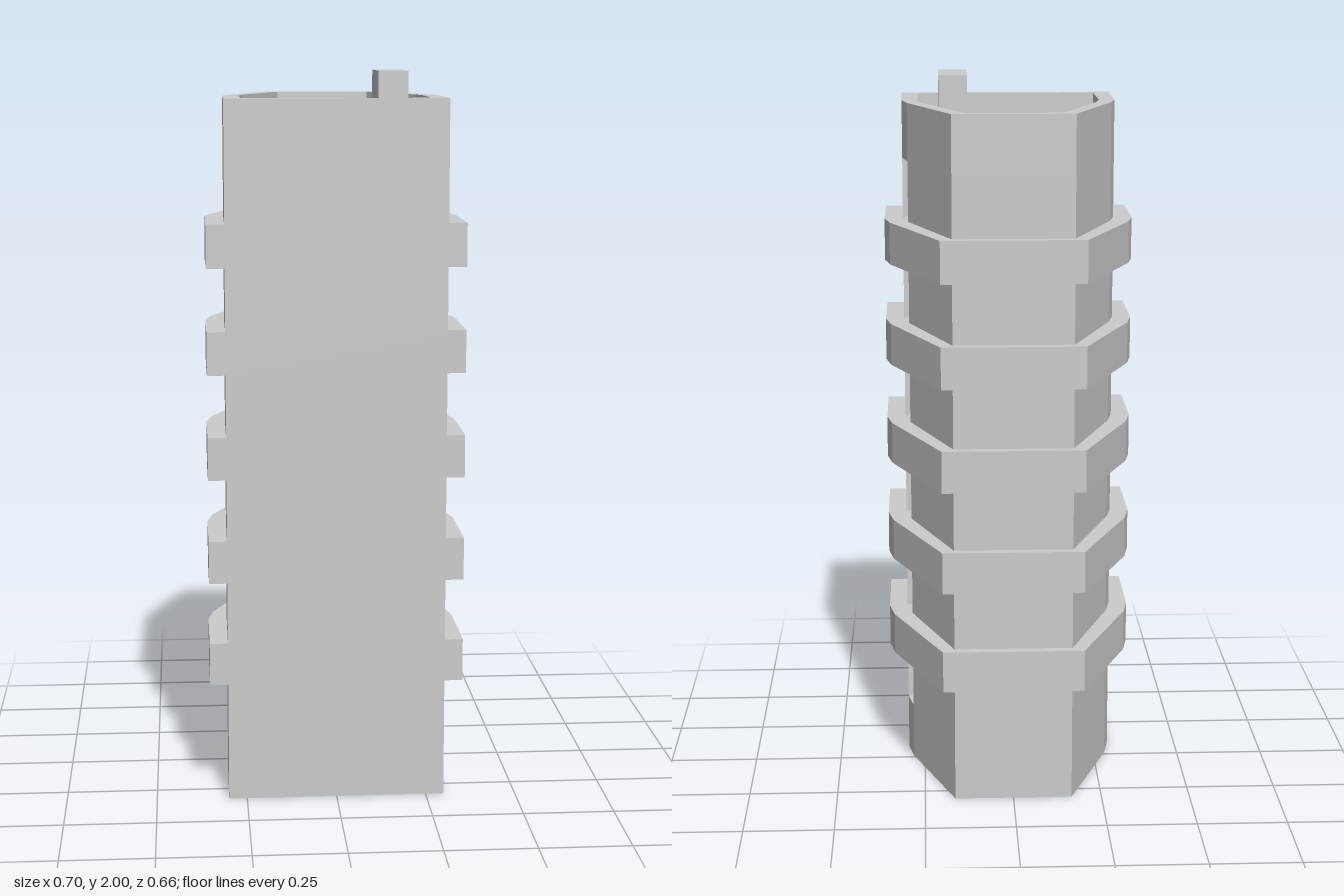
import * as THREE from 'three';

const material = new THREE.MeshStandardMaterial({ color: 0xcccccc, flatShading: true, side: THREE.DoubleSide });

// Symmetric plan outlines as [x, z], given by their +x half from front to back
const mirrored = half => [...half, ...half.map(([x, z]) => [-x, z]).reverse()];
const BODY = mirrored([[0.3, 0.33], [0.298, 0.085], [0.283, 0.01], [0.165, -0.305]]);
const BAND = mirrored([[0.35, 0.33], [0.35, 0.08], [0.335, 0], [0.197, -0.33]]);
const ROOF = mirrored([[0.254, 0.301], [0.254, 0.082], [0.24, 0.01], [0.13, -0.278]]);
const BEVEL = 1; // edge of the outline that holds the windows

const TOP = 1.93, DECK = 1.855, PITCH = 0.288, FIRST_BAND = 0.33, BAND_HEIGHT = 0.118;

function meshFromQuads(name, quads) {
  const positions = quads.flatMap(([a, b, c, d]) => [a, b, c, a, c, d].flat());
  const geometry = new THREE.BufferGeometry();
  geometry.setAttribute('position', new THREE.Float32BufferAttribute(positions, 3));
  geometry.computeVertexNormals();
  const mesh = new THREE.Mesh(geometry, material);
  mesh.name = name;
  return mesh;
}

// Joins successive [outline, y] levels with quads; skipEdge leaves an opening
function loft(name, levels, skipEdge = -1) {
  const quads = [];
  for (let k = 0; k + 1 < levels.length; k++) {
    const [p, y0] = levels[k], [q, y1] = levels[k + 1];
    p.forEach((a, i) => {
      const j = (i + 1) % p.length;
      // The front edge of a band ledge has no depth
      const flat = y0 === y1 && a[1] === q[i][1] && p[j][1] === q[j][1];
      if (i === skipEdge || flat) return;
      quads.push([
        [a[0], y0, a[1]], [p[j][0], y0, p[j][1]],
        [q[j][0], y1, q[j][1]], [q[i][0], y1, q[i][1]],
      ]);
    });
  }
  return meshFromQuads(name, quads);
}

// Recessed, slightly tapered slot window on the bevelled face
function slotWindow(y0, y1) {
  const [x0, z0] = BODY[BEVEL], [x1, z1] = BODY[BEVEL + 1];
  const outer = [[x0, y0, z0], [x1, y0, z1], [x1, y1, z1], [x0, y1, z0]];
  const length = Math.hypot(x1 - x0, z1 - z0);
  const depth = 0.05, taper = 0.008, rise = 0.015;
  const along = [(x1 - x0) / length, (z1 - z0) / length];
  const inward = [along[1], -along[0]];
  const inner = outer.map(([x, y, z], i) => {
    const s = i === 0 || i === 3 ? taper : -taper;
    return [
      x + along[0] * s + inward[0] * depth,
      y + (i < 2 ? rise : -rise),
      z + along[1] * s + inward[1] * depth,
    ];
  });
  const sides = outer.map((a, i) => [a, outer[(i + 1) % 4], inner[(i + 1) % 4], inner[i]]);
  return meshFromQuads('slotWindow', [...sides, inner]);
}

export function createModel() {
  const model = new THREE.Group();
  model.name = 'towerBlock';
  const windowHeight = PITCH - BAND_HEIGHT;

  // Plain wall at the foot
  const foot = FIRST_BAND - windowHeight;
  model.add(loft('baseWall', [[BODY, 0], [BODY, foot]]));

  // Six storeys, each with a window, and five projecting bands between them
  for (let i = 0; i < 6; i++) {
    const y0 = foot + i * PITCH, y1 = y0 + windowHeight, y2 = y0 + PITCH;
    model.add(loft('storeyWall', [[BODY, y0], [BODY, y1]], BEVEL));
    model.add(slotWindow(y0, y1));
    if (i < 5) {
      model.add(loft('balconyBand', [[BODY, y1], [BAND, y1], [BAND, y2], [BODY, y2]]));
    } else {
      // Upper wall with the parapet folded down to the roof deck
      model.add(loft('parapet', [[BODY, y1], [BODY, TOP], [ROOF, TOP], [ROOF, DECK]]));
    }
  }

  // Roof deck inside the parapet
  const shape = new THREE.Shape(ROOF.map(([x, z]) => new THREE.Vector2(x, -z)));
  const deck = new THREE.Mesh(new THREE.ShapeGeometry(shape).rotateX(-Math.PI / 2), material);
  deck.name = 'roofDeck';
  deck.position.y = DECK;
  model.add(deck);

  // Rooftop stack
  const stack = new THREE.Mesh(new THREE.BoxGeometry(0.08, 2 - DECK, 0.193), material);
  stack.name = 'roofStack';
  stack.position.set(0.155, (2 + DECK) / 2, 0.1735);
  model.add(stack);

  return model;
}
